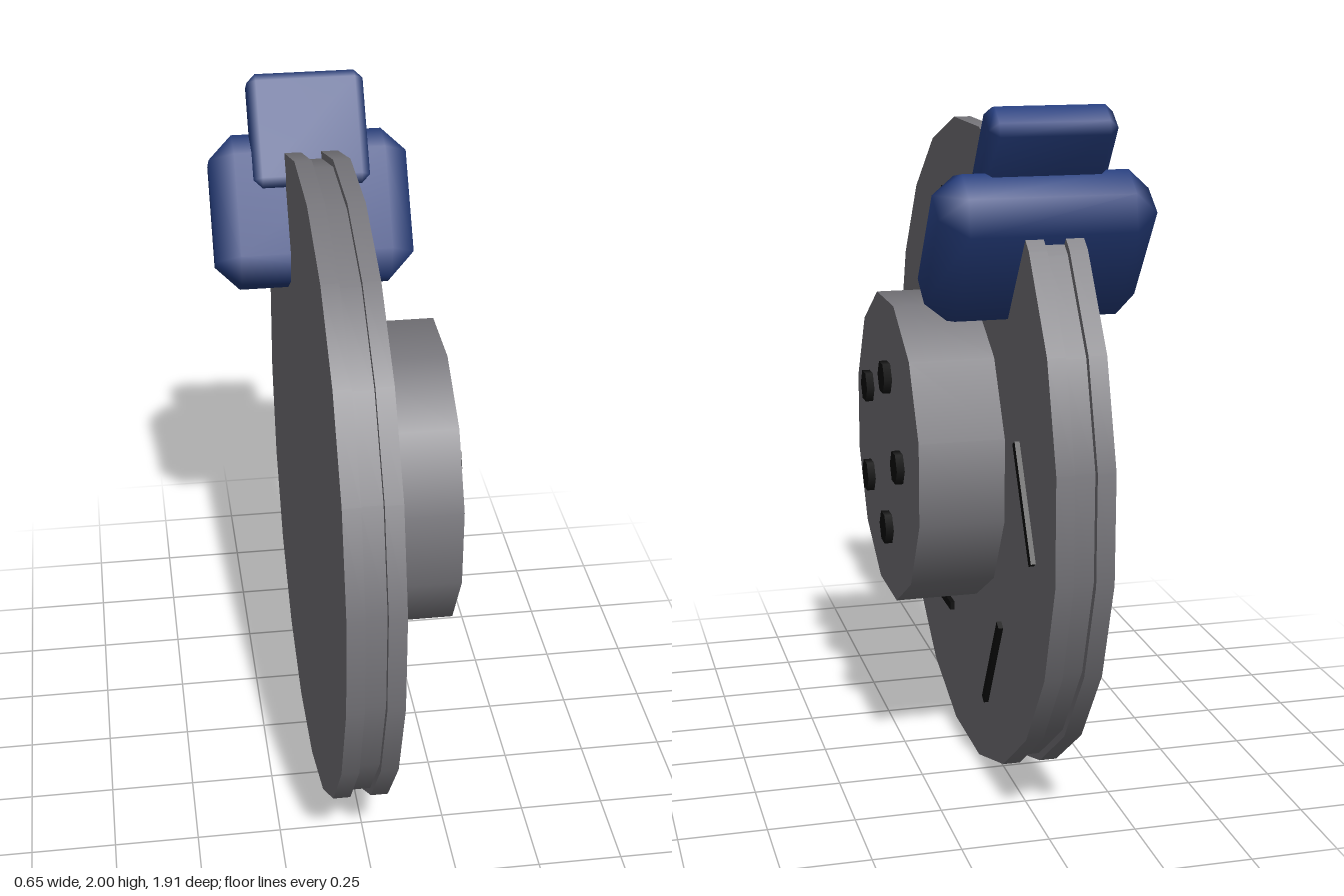
import * as THREE from 'three';
import { mergeVertices } from 'three/addons/utils/BufferGeometryUtils.js';
import { ConvexGeometry } from 'three/addons/geometries/ConvexGeometry.js';

const steel = new THREE.MeshStandardMaterial({ color: 0x77767b });
steel.name = 'steel grey';
const blue = new THREE.MeshStandardMaterial({ color: 0x253d7d });
blue.name = 'caliper blue';
const black = new THREE.MeshStandardMaterial({ color: 0x0c0c0c });
black.name = 'black';

const AXLE_Y = 0.953;

function add(parent, name, geometry, material) {
  const mesh = new THREE.Mesh(geometry, material);
  mesh.name = name;
  parent.add(mesh);
  return mesh;
}

// Prism along the x axis from x0 to x1, optionally turned so a flat faces down
function axleCylinder(radius, x0, x1, sides, flatDown) {
  const g = new THREE.CylinderGeometry(radius, radius, x1 - x0, sides, 1, false, flatDown ? Math.PI / sides : 0);
  g.rotateZ(-Math.PI / 2);
  g.translate((x0 + x1) / 2, 0, 0);
  return g;
}

// Box with one-step chamfers on all edges, shaded smoothly
function chamferBox(w, h, d, c) {
  const points = [];
  for (const sx of [-1, 1]) for (const sy of [-1, 1]) for (const sz of [-1, 1]) {
    for (let axis = 0; axis < 3; axis++) {
      const inset = [0, 1, 2].map((i) => (i === axis ? 0 : c));
      points.push(new THREE.Vector3(
        sx * (w / 2 - inset[0]), sy * (h / 2 - inset[1]), sz * (d / 2 - inset[2])));
    }
  }
  const hull = new ConvexGeometry(points);
  hull.deleteAttribute('normal');
  const g = mergeVertices(hull, 1e-4);
  g.computeVertexNormals();
  return g;
}

export function createModel() {
  const model = new THREE.Group();
  model.name = 'brakeDisc';

  // Rotor: two plates with a slightly smaller core between them, and the hub
  const rotor = new THREE.Group();
  rotor.name = 'rotor';
  rotor.position.y = AXLE_Y;
  model.add(rotor);
  add(rotor, 'innerPlate', axleCylinder(0.965, -0.11, -0.06, 20, true), steel);
  add(rotor, 'core', axleCylinder(0.944, -0.06, 0, 20, true), steel);
  add(rotor, 'outerPlate', axleCylinder(0.965, 0, 0.05, 20, true), steel);
  add(rotor, 'hub', axleCylinder(0.461, 0.04, 0.295, 12, true), steel);

  // Five hexagonal wheel bolts
  for (let i = 0; i < 5; i++) {
    const a = (i / 5) * Math.PI * 2;
    const bolt = add(rotor, 'bolt', axleCylinder(0.05, 0.302, 0.325, 6, false), black);
    bolt.position.set(0, 0.24 * Math.sin(a), -0.24 * Math.cos(a));
  }

  // Six slanted slots on the outer face
  for (let i = 0; i < 6; i++) {
    const a = (i / 6) * Math.PI * 2;
    const slot = add(rotor, 'slot', new THREE.BoxGeometry(0.025, 0.026, 0.34), black);
    slot.position.set(0.0515, 0.673 * Math.sin(a), -0.673 * Math.cos(a));
    slot.rotation.x = a - Math.PI / 3;
  }

  // Caliper body straddling the rim, with its bracket above
  const tilt = -0.62;
  const body = add(model, 'caliperBody', chamferBox(0.6, 0.455, 0.24, 0.072), blue);
  body.position.set(-0.03, 1.614, -0.466);
  body.rotation.x = tilt;
  const bracket = add(model, 'caliperBracket', chamferBox(0.35, 0.345, 0.117, 0.026), blue);
  bracket.position.set(-0.03, 1.844, -0.52);
  bracket.rotation.x = tilt;

  return model;
}
